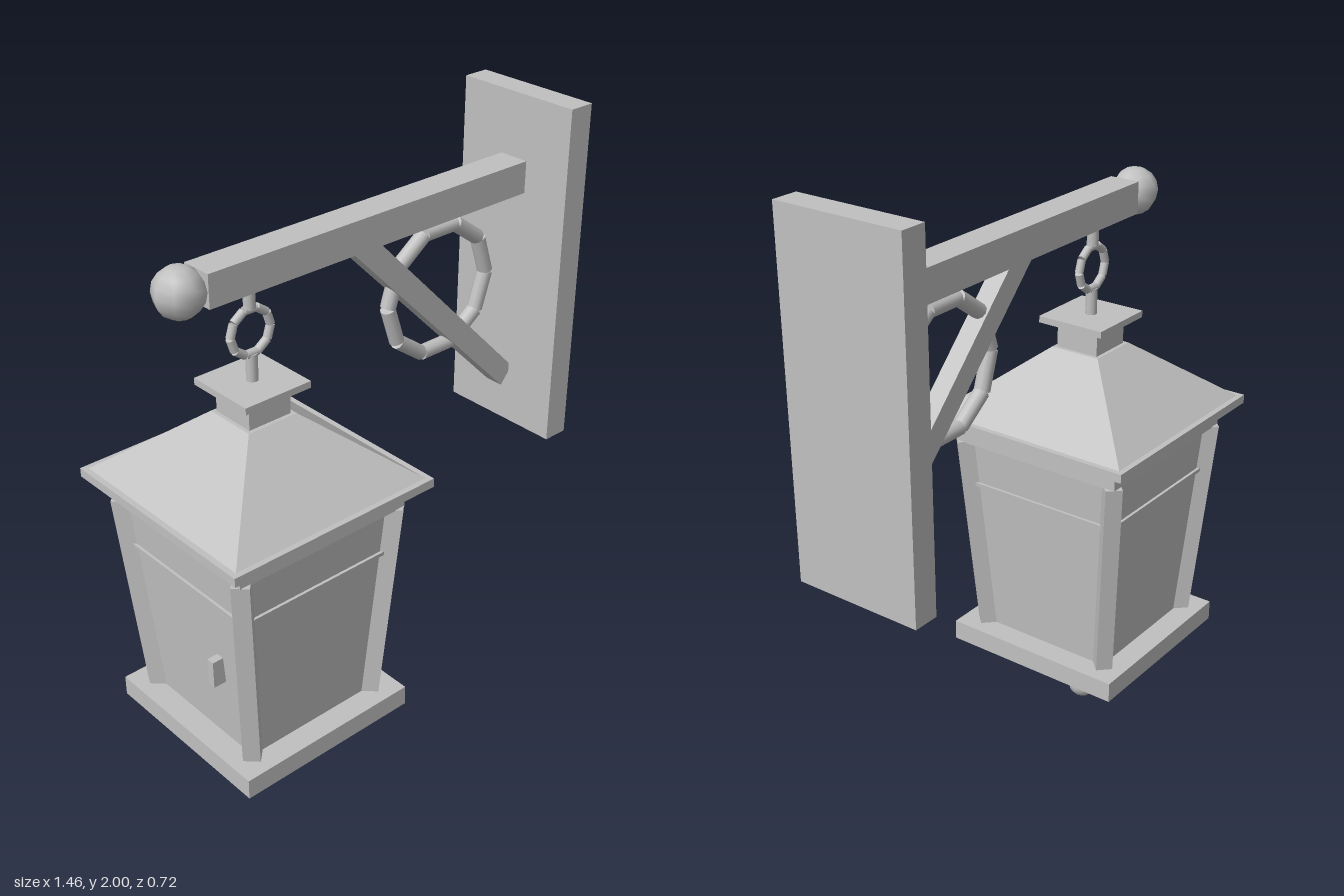
import * as THREE from 'three';

const metal = new THREE.MeshStandardMaterial({ color: 0xc0c0c0 });
metal.name = 'grey metal';

function add(parent, name, geometry, x = 0, y = 0, z = 0) {
  const mesh = new THREE.Mesh(geometry, metal);
  mesh.name = name;
  mesh.position.set(x, y, z);
  parent.add(mesh);
  return mesh;
}

function faceted(geometry) {
  const flat = geometry.toNonIndexed();
  flat.computeVertexNormals();
  return flat;
}

// Square block between two heights, with its own half width at bottom and top
function squareBlock(parent, name, y0, y1, half0, half1 = half0) {
  const g = new THREE.CylinderGeometry(half1 * Math.SQRT2, half0 * Math.SQRT2, y1 - y0, 4);
  g.rotateY(Math.PI / 4);
  return add(parent, name, faceted(g), 0, (y0 + y1) / 2, 0);
}

function rod(parent, name, y0, y1, radius) {
  return add(parent, name, new THREE.CylinderGeometry(radius, radius, y1 - y0, 10), 0, (y0 + y1) / 2, 0);
}

// Ring made of ten straight rods
function linkedRing(parent, name, x, y, apothem, radius, length) {
  const ring = new THREE.Group();
  ring.name = name;
  ring.position.set(x, y, 0);
  for (let i = 0; i < 10; i++) {
    const a = Math.PI / 2 + (i * Math.PI) / 5;
    const link = add(ring, 'ringLink', new THREE.CylinderGeometry(radius, radius, length, 10),
      Math.cos(a) * apothem, Math.sin(a) * apothem, 0);
    link.rotation.z = a;
  }
  parent.add(ring);
}

export function createModel() {
  const model = new THREE.Group();
  model.name = 'wallLantern';

  // Wall bracket
  const bracket = new THREE.Group();
  bracket.name = 'bracket';
  model.add(bracket);
  add(bracket, 'wallPlate', new THREE.BoxGeometry(0.084, 1.09, 0.42), 0.685, 1.455, 0);
  add(bracket, 'beam', new THREE.BoxGeometry(1.183, 0.1, 0.1), 0.052, 1.752, 0);
  add(bracket, 'beamKnob', new THREE.SphereGeometry(0.074, 8, 8), -0.597, 1.753, 0);
  const outline = [[-0.034, 1.702], [0.611, 1.048], [0.643, 1.085], [0.643, 1.116], [0.071, 1.702]];
  const braceShape = new THREE.Shape(outline.map(([x, y]) => new THREE.Vector2(x, y)));
  add(bracket, 'brace', new THREE.ExtrudeGeometry(braceShape, { depth: 0.06, bevelEnabled: false }), 0, 0, -0.03);
  linkedRing(bracket, 'bracketRing', 0.336, 1.466, 0.193, 0.024, 0.122);

  // Lantern, hung from the beam
  const lantern = new THREE.Group();
  lantern.name = 'lantern';
  lantern.position.x = -0.373;
  model.add(lantern);
  rod(lantern, 'upperHanger', 1.635, 1.71, 0.018);
  linkedRing(lantern, 'hangingRing', 0, 1.566, 0.066, 0.013, 0.041);
  rod(lantern, 'lowerHanger', 1.41, 1.5, 0.018);

  // Roof
  squareBlock(lantern, 'cap', 1.397, 1.418, 0.114);
  squareBlock(lantern, 'neck', 1.315, 1.397, 0.073);
  squareBlock(lantern, 'roof', 1.113, 1.315, 0.34, 0.085);
  squareBlock(lantern, 'eave', 1.085, 1.113, 0.358);
  squareBlock(lantern, 'topBand', 1.015, 1.085, 0.3);

  // Tapered body
  const low = 0.34, high = 1.018;
  const halfAt = (y) => 0.233 + (0.047 * (y - low)) / (high - low);
  squareBlock(lantern, 'panes', low, high, halfAt(low), halfAt(high));
  squareBlock(lantern, 'paneBar', 0.86, 0.873, halfAt(0.86) + 0.009, halfAt(0.873) + 0.009);

  // Leaning diamond-section corner posts
  for (const sx of [-1, 1]) {
    for (const sz of [-1, 1]) {
      const g = new THREE.CylinderGeometry(0.037, 0.037, high - low, 4);
      g.translate(0, (low + high) / 2, 0);
      const p = g.attributes.position;
      for (let i = 0; i < p.count; i++) {
        const h = halfAt(p.getY(i));
        p.setX(i, p.getX(i) + sx * h);
        p.setZ(i, p.getZ(i) + sz * h);
      }
      add(lantern, 'cornerPost', faceted(g));
    }
  }

  // Door handle
  add(lantern, 'doorHandle', new THREE.BoxGeometry(0.045, 0.09, 0.026), -0.269, 0.62, 0.13);

  // Base and drop finial
  squareBlock(lantern, 'base', 0.275, 0.342, 0.31);
  squareBlock(lantern, 'underside', 0.18, 0.275, 0.095, 0.28);
  rod(lantern, 'finialStem', 0.08, 0.185, 0.017);
  add(lantern, 'finialBall', new THREE.SphereGeometry(0.049, 12, 10), 0, 0.053, 0);

  return model;
}
